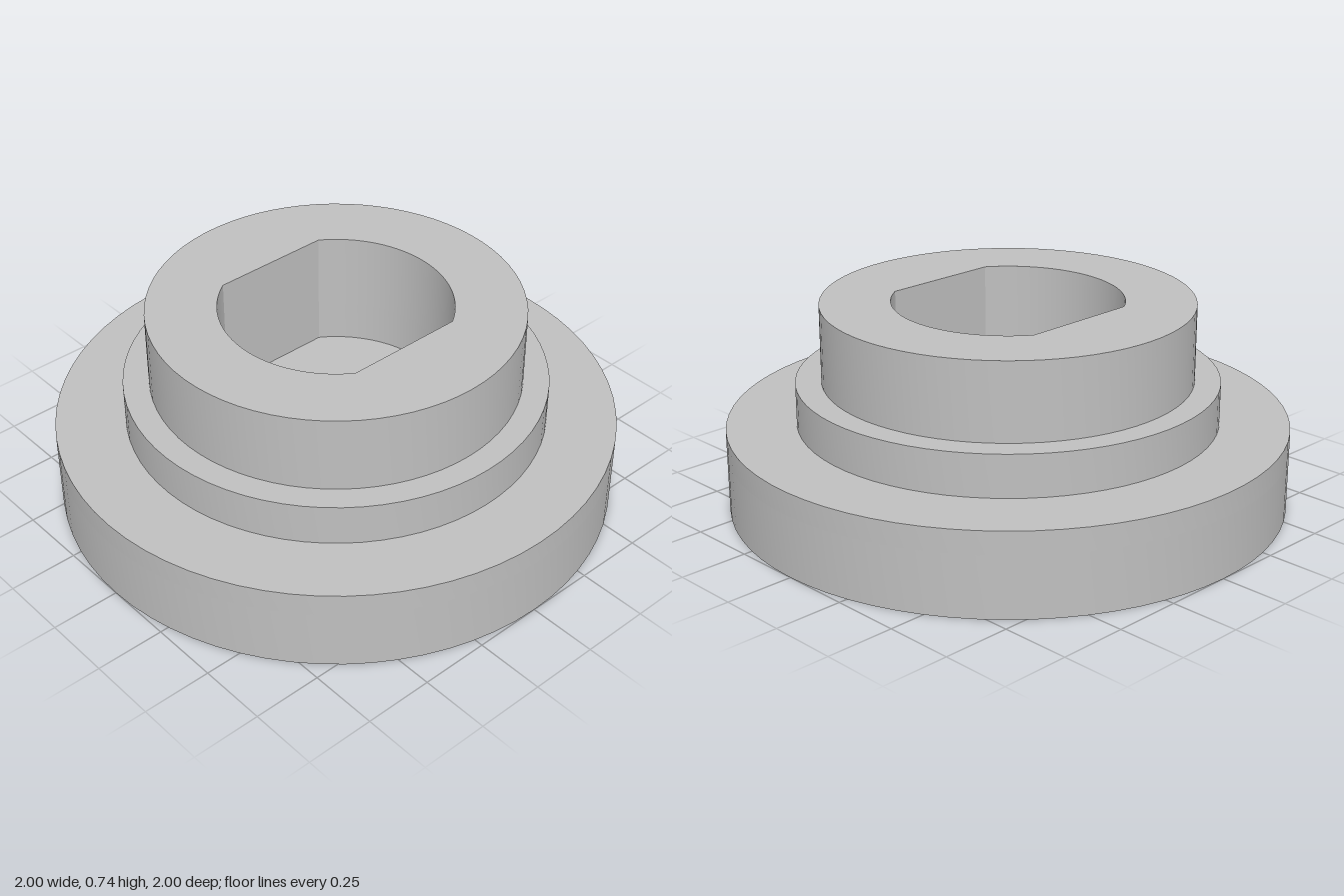
import * as THREE from 'three';
import { toCreasedNormals } from 'three/addons/utils/BufferGeometryUtils.js';

const BOLT_CIRCLE = 0.5, HOLE_R = 0.12, NUT_R = 0.23;
const BORE_R = 0.41, FLAT_X = 0.345;

function circle(r, x = 0, y = 0, Type = THREE.Path) {
  const p = new Type();
  p.absarc(x, y, r, 0, Math.PI * 2, false);
  return p;
}

// Hexagon with one flat facing the axis
function hexagon(angle) {
  const cx = BOLT_CIRCLE * Math.cos(angle), cy = BOLT_CIRCLE * Math.sin(angle);
  const points = [];
  for (let i = 0; i < 6; i++) {
    const a = angle + Math.PI / 6 + i * Math.PI / 3;
    points.push(new THREE.Vector2(cx + NUT_R * Math.cos(a), cy + NUT_R * Math.sin(a)));
  }
  return new THREE.Path(points);
}

// Round bore with two parallel flats
function doubleFlatBore() {
  const a = Math.acos(FLAT_X / BORE_R);
  const p = new THREE.Path();
  p.absarc(0, 0, BORE_R, a, Math.PI - a, false);
  p.absarc(0, 0, BORE_R, Math.PI + a, Math.PI * 2 - a, false);
  p.closePath();
  return p;
}

// Disc of radius r from y0 to y1, pierced by the given paths
function layer(name, r, y0, y1, holes, material) {
  const shape = circle(r, 0, 0, THREE.Shape);
  shape.holes.push(...holes);
  const extruded = new THREE.ExtrudeGeometry(shape, { depth: y1 - y0, bevelEnabled: false, curveSegments: 36 });
  extruded.rotateX(-Math.PI / 2).translate(0, y0, 0);
  const mesh = new THREE.Mesh(toCreasedNormals(extruded, 0.5), material);
  mesh.name = name;
  return mesh;
}

export function createModel() {
  const group = new THREE.Group();
  group.name = 'flangedHub';
  const grey = new THREE.MeshStandardMaterial({ color: 0xbfbfbf });
  grey.name = 'grey';

  const angles = [0, 1, 2, 3].map((i) => i * Math.PI / 2);
  const boltHoles = angles.map((a) => circle(HOLE_R, BOLT_CIRCLE * Math.cos(a), BOLT_CIRCLE * Math.sin(a)));

  group.add(
    // Lower flange: nut pockets and blind centre hole
    layer('flangeWithNutPockets', 1, 0, 0.22, [...angles.map(hexagon), circle(HOLE_R)], grey),
    // Upper flange: bolt holes, floor of the bore
    layer('flangeWithBoltHoles', 1, 0.22, 0.303, boltHoles, grey),
    // Shoulder and hub around the bore
    layer('shoulder', 0.752, 0.303, 0.455, [doubleFlatBore()], grey),
    layer('hub', 0.66, 0.455, 0.735, [doubleFlatBore()], grey)
  );
  return group;
}
